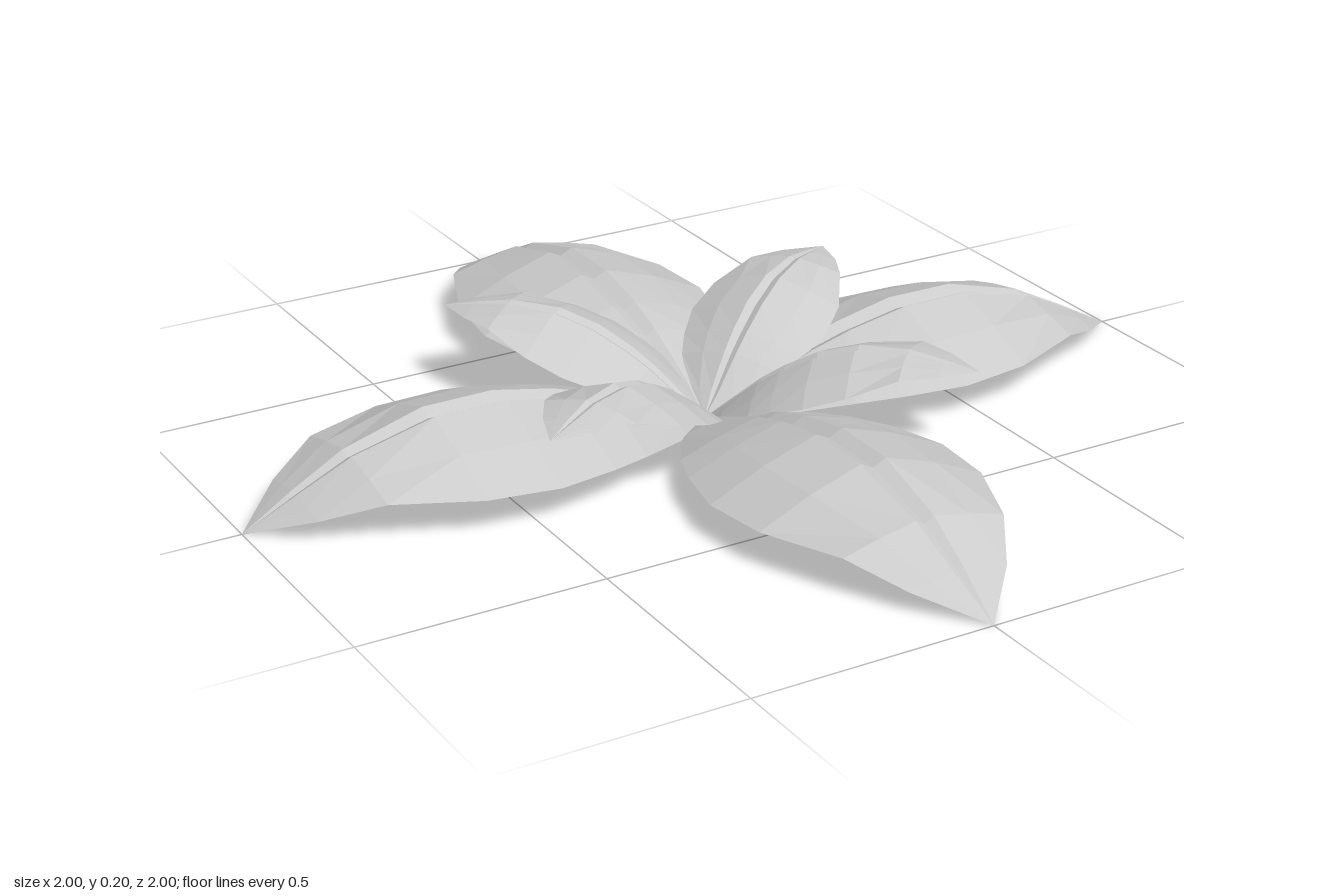
import * as THREE from 'three';

// Leaf stations from base to tip: [distance, half width, ridge height, edge height, groove half width]
const STATIONS = [
  [0, 0, 0.008, 0.008, 0],
  [0.1, 0.11, 0.05, 0.03, 0.014],
  [0.24, 0.195, 0.108, 0.057, 0.022],
  [0.33, 0.23, 0.135, 0.065, 0.026],
  [0.46, 0.26, 0.16, 0.071, 0.029],
  [0.61, 0.245, 0.16, 0.076, 0.027],
  [0.78, 0.175, 0.115, 0.08, 0.02],
  [0.89, 0.105, 0.06, 0.043, 0.012],
  [1, 0, 0, 0, 0],
];

// Arched leaf along +x: drooping blades either side of a narrow sunken midrib
function leafGeometry() {
  const positions = [], index = [], n = 7;
  for (const [x, w, top, edge, g] of STATIONS) {
    const mid = (w + g) / 2, midY = top - (top - edge) * 0.42;
    const half = [[w, edge], [mid, midY], [g, top]];
    const section = [
      ...half.map(([z, y]) => [-z, y]),
      [0, top - g * 0.5],
      ...half.reverse(),
    ];
    for (const [z, y] of section) positions.push(x, y, z);
  }
  for (let i = 0; i < STATIONS.length - 1; i++) {
    for (let j = 0; j < n - 1; j++) {
      const a = i * n + j, b = a + 1, c = a + n, d = c + 1;
      if (i > 0) index.push(a, b, c);
      if (i < STATIONS.length - 2) index.push(b, d, c);
    }
  }
  const geometry = new THREE.BufferGeometry();
  geometry.setAttribute('position', new THREE.Float32BufferAttribute(positions, 3));
  geometry.setIndex(index);
  const flat = geometry.toNonIndexed();
  flat.computeVertexNormals();
  return flat;
}

export function createModel() {
  const plant = new THREE.Group();
  plant.name = 'leafRosette';
  const material = new THREE.MeshStandardMaterial({
    color: 0xcccccc, flatShading: true, side: THREE.DoubleSide,
  });
  const geometry = leafGeometry();

  const addLeaf = (name, x, z, scale, tilt) => {
    const leaf = new THREE.Mesh(geometry, material);
    leaf.name = name;
    leaf.scale.setScalar(scale);
    leaf.rotation.set(0, Math.atan2(-z, x), tilt);
    plant.add(leaf);
  };

  // Four large leaves resting on their tips
  [[1, 0], [0, 1], [-1, 0], [0, -1]].forEach(([x, z], i) =>
    addLeaf(`largeLeaf${i + 1}`, x, z, 1, 0));

  // Four small raised leaves between them, aimed at their tips
  [[0.47, -0.3], [0.37, 0.41], [-0.49, 0.27], [-0.37, -0.42]].forEach(([x, z], i) =>
    addLeaf(`smallLeaf${i + 1}`, x, z, 0.588, 0.31));

  return plant;
}
